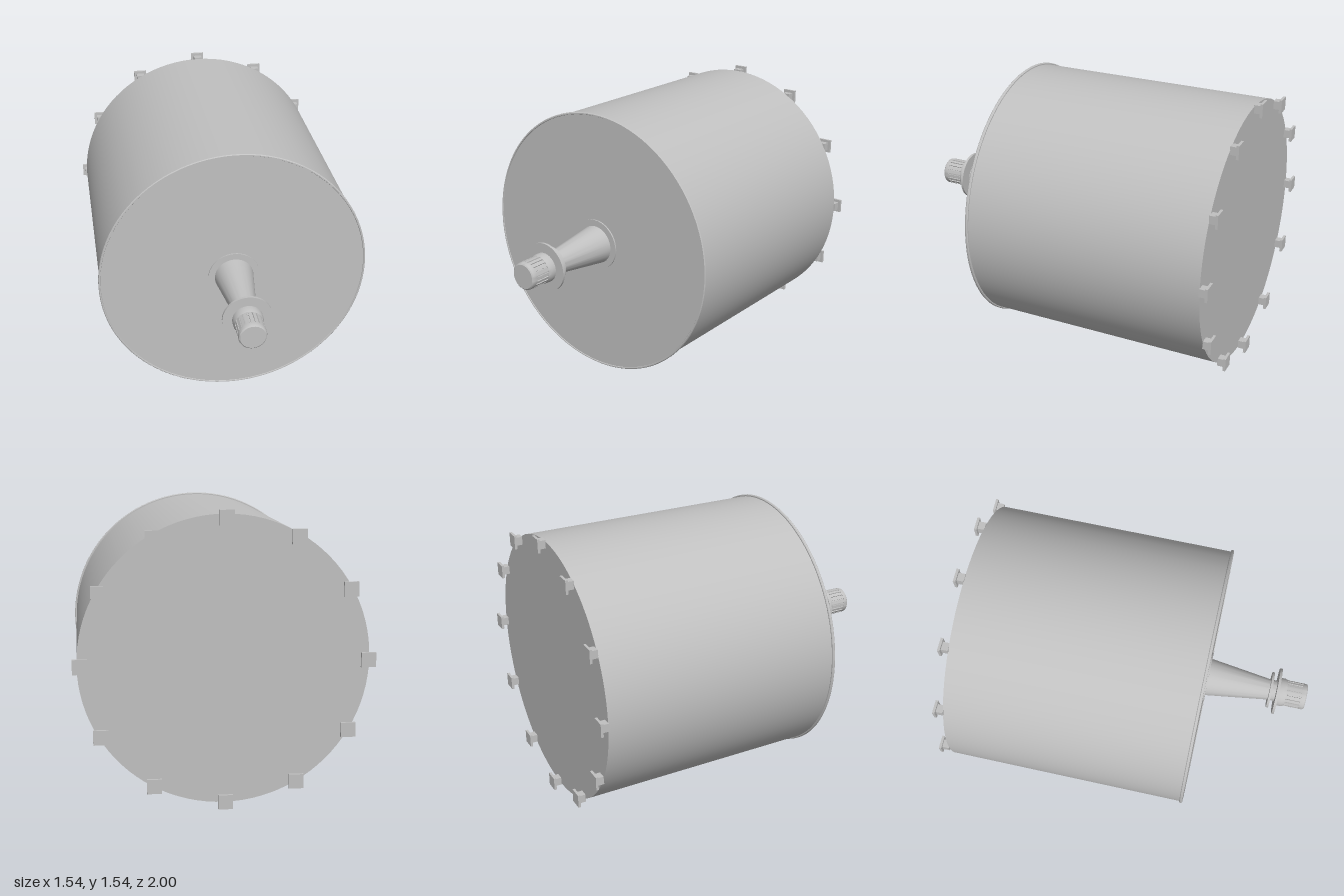
import * as THREE from 'three';
import { toCreasedNormals } from 'three/addons/utils/BufferGeometryUtils.js';

export function createModel() {
  const model = new THREE.Group();
  model.name = 'bagInBoxDrum';
  const gray = new THREE.MeshStandardMaterial({ color: 0xc0c0c0 });
  gray.name = 'plain gray';
  const CY = 0.768; // height of the drum axis

  const add = (name, geometry, parent = model) => {
    const mesh = new THREE.Mesh(geometry, gray);
    mesh.name = name;
    parent.add(mesh);
    return mesh;
  };

  // Solid of revolution about the z axis; profile is [radius, z] from back to front
  const turned = (name, profile, segments = 48) => {
    const geometry = new THREE.LatheGeometry(profile.map(([r, z]) => new THREE.Vector2(r, z)), segments);
    geometry.rotateX(Math.PI / 2);
    add(name, toCreasedNormals(geometry, 0.5)).position.y = CY;
  };

  // Drum with a small raised rim at its front edge
  turned('drumBody', [
    [0, -0.95], [0.745, -0.95], [0.745, 0.402], [0.751, 0.402], [0.755, 0.406],
    [0.755, 0.414], [0.751, 0.419], [0.745, 0.419], [0.743, 0.415], [0, 0.415],
  ], 96);

  // Tapered spindle with its base flange and two collars
  turned('baseFlange', [[0, 0.41], [0.145, 0.41], [0.145, 0.423], [0, 0.423]]);
  turned('taperedSpindle', [[0, 0.415], [0.11, 0.415], [0.06, 0.785], [0.06, 0.83], [0, 0.83]]);
  turned('innerCollar', [[0, 0.783], [0.105, 0.783], [0.105, 0.796], [0, 0.796]]);
  turned('outerCollar', [[0, 0.822], [0.135, 0.822], [0.135, 0.836], [0, 0.836]]);

  // End knob: plain shoulder, grooved grip and rounded tip
  turned('knobShoulder', [[0, 0.83], [0.082, 0.83], [0.082, 0.865], [0.076, 0.882], [0, 0.882]]);
  turned('knobCore', [
    [0, 0.875], [0.071, 0.875], [0.071, 0.97], [0.076, 0.97], [0.076, 0.986],
    [0.073, 0.995], [0.067, 1], [0, 1],
  ]);
  const grip = new THREE.Group();
  grip.name = 'knobGrip';
  grip.position.set(0, CY, 0.925);
  model.add(grip);
  for (let i = 0; i < 20; i++) {
    const a = (i / 20) * Math.PI * 2;
    const rib = add('gripRib', new THREE.BoxGeometry(0.01, 0.015, 0.092), grip);
    rib.position.set(Math.cos(a) * 0.071, Math.sin(a) * 0.071, 0);
    rib.rotation.z = a;
  }

  // Twelve square feet round the back, all kept upright
  for (let i = 0; i < 12; i++) {
    const a = (i / 12) * Math.PI * 2;
    const foot = new THREE.Group();
    foot.name = 'backFoot';
    foot.position.set(Math.cos(a) * 0.73, CY + Math.sin(a) * 0.73, 0);
    add('footStem', new THREE.BoxGeometry(0.046, 0.046, 0.04), foot).position.z = -0.968;
    add('footPad', new THREE.BoxGeometry(0.076, 0.076, 0.014), foot).position.z = -0.993;
    model.add(foot);
  }
  return model;
}
